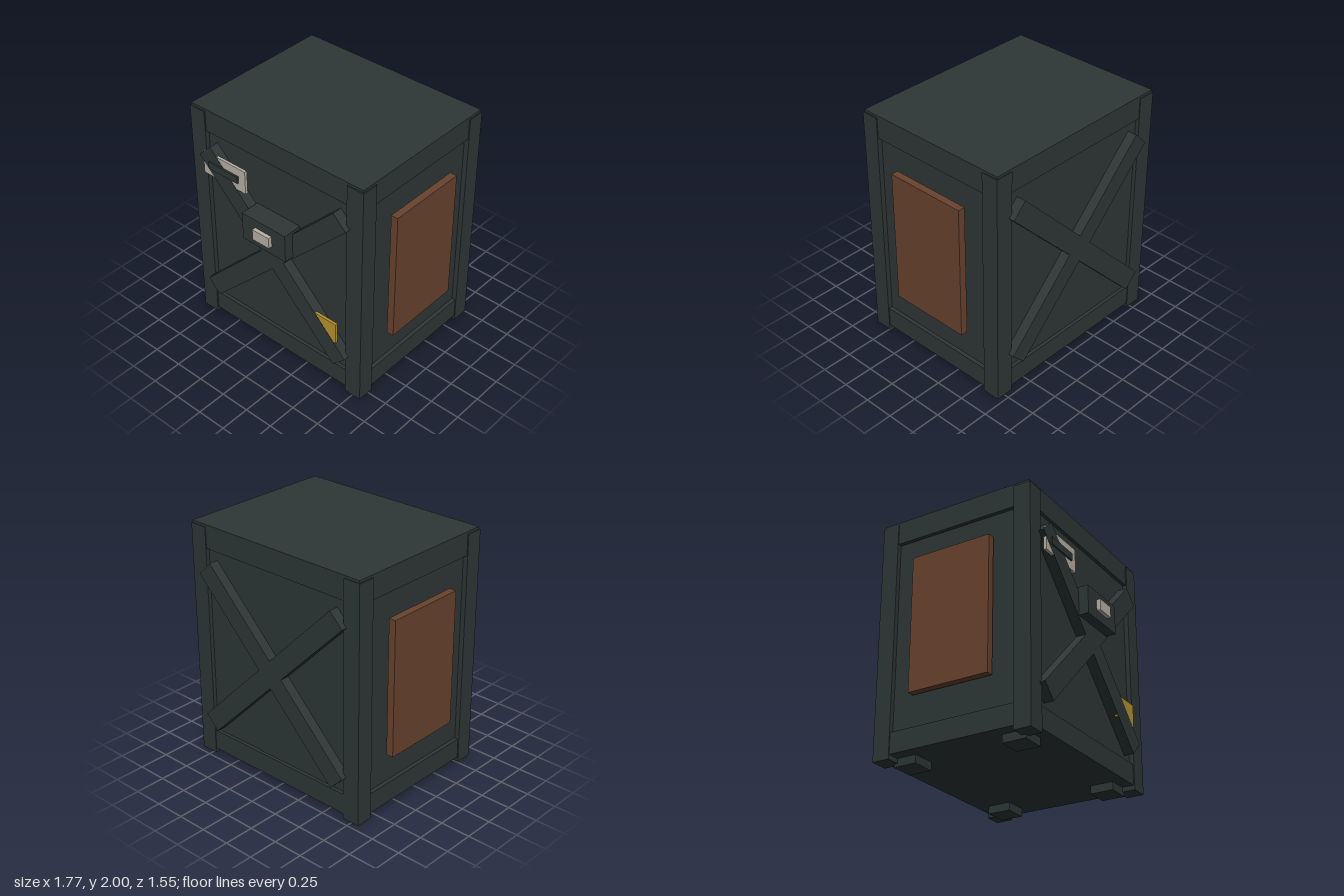
import * as THREE from 'three';

const material = (name, color) => {
  const m = new THREE.MeshStandardMaterial({ color });
  m.name = name;
  return m;
};

export function createModel() {
  const crate = new THREE.Group();
  crate.name = 'crate';
  const steel = material('dark steel', 0x2e3736);
  const rust = material('rust brown', 0x69432e);
  const pale = material('pale grey', 0xb9b1a6);
  const yellow = material('warning yellow', 0xb8942d);

  // Box given by its lower and upper limits on each axis
  const box = (name, mat, [x0, x1], [y0, y1], [z0, z1]) => {
    const mesh = new THREE.Mesh(new THREE.BoxGeometry(x1 - x0, y1 - y0, z1 - z0), mat);
    mesh.position.set((x0 + x1) / 2, (y0 + y1) / 2, (z0 + z1) / 2);
    mesh.name = name;
    crate.add(mesh);
    return mesh;
  };

  // Recessed body between the top and bottom frames
  box('body', steel, [-0.8, 0.8], [0.2, 1.85], [-0.695, 0.58]);
  box('topFrame', steel, [-0.832, 0.832], [1.808, 2], [-0.722, 0.608]);
  box('bottomFrame', steel, [-0.832, 0.832], [0.065, 0.235], [-0.722, 0.608]);

  // Corner posts, feet and side panels
  for (const s of [-1, 1]) {
    const span = (a, b) => (s > 0 ? [a, b] : [-b, -a]);
    for (const z of [[0.475, 0.618], [-0.728, -0.585]]) {
      box('cornerPost', steel, span(0.692, 0.84), [0.027, 1.98], z);
    }
    for (const z of [[0.315, 0.51], [-0.617, -0.422]]) {
      box('foot', steel, span(0.535, 0.73), [0, 0.08], z);
    }
    box('sidePanel', rust, span(0.825, 0.885), [0.488, 1.605], [-0.398, 0.29]);
  }

  // Crossed braces on front and back
  for (const z of [[0.575, 0.662], [-0.774, -0.69]]) {
    for (const s of [-1, 1]) {
      const brace = box('crossBrace', steel, [-0.94, 0.94], [0.924, 1.086], z);
      brace.rotation.z = s * Math.PI / 4;
    }
  }

  // Label plate with its bar
  box('labelPlate', pale, [-0.683, -0.252], [1.465, 1.664], [0.637, 0.66]);
  box('labelBar', steel, [-0.618, -0.32], [1.535, 1.595], [0.645, 0.675]);

  // Latch and its button
  box('latch', steel, [-0.215, 0.215], [1.123, 1.36], [0.58, 0.743]);
  box('latchButton', pale, [-0.083, 0.082], [1.198, 1.29], [0.74, 0.775]);

  // Warning plate tucked behind the brace face
  box('warningPlate', yellow, [0.363, 0.632], [0.512, 0.695], [0.637, 0.66]);

  return crate;
}
